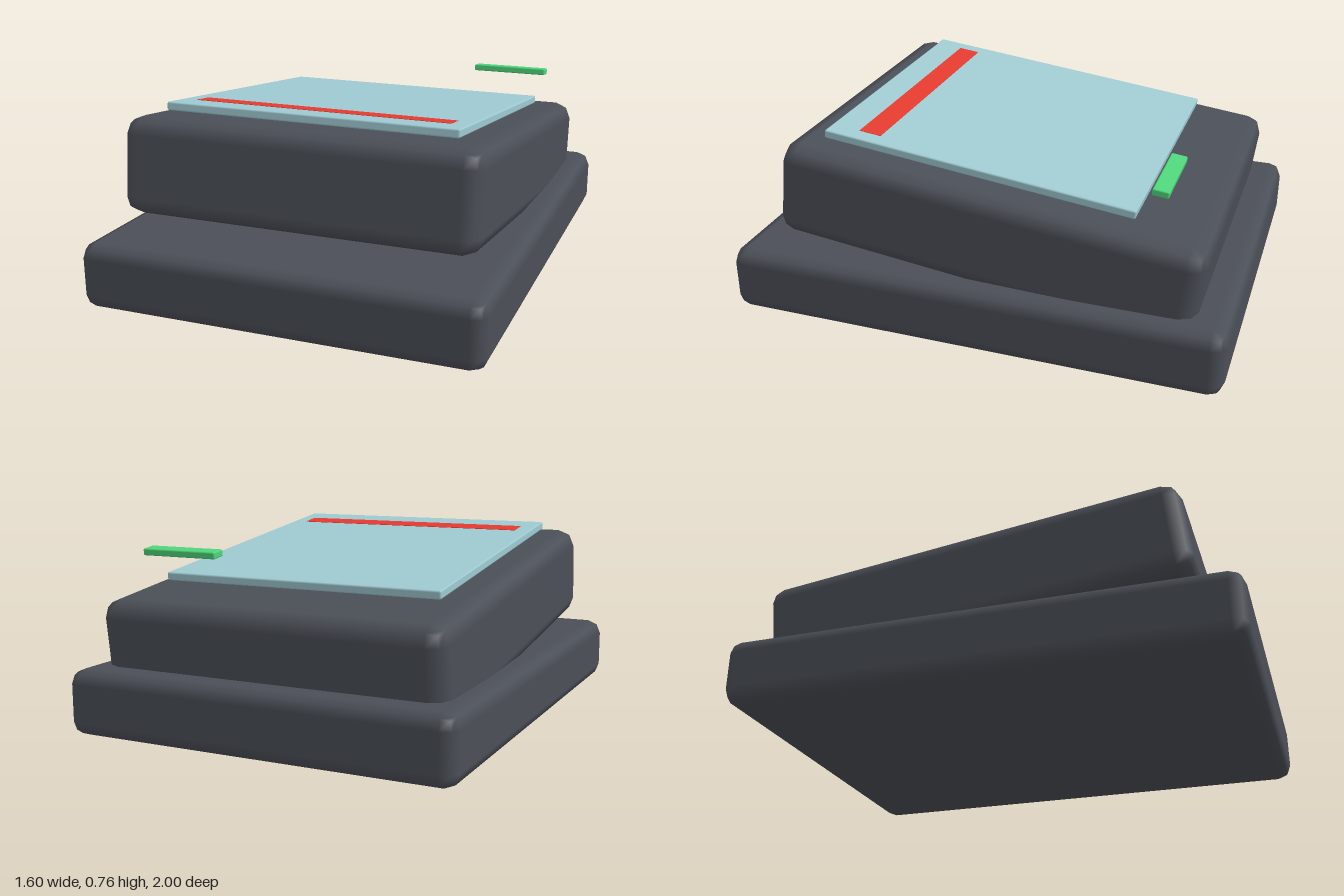
import * as THREE from 'three';
import { RoundedBoxGeometry } from 'three/addons/geometries/RoundedBoxGeometry.js';

const TILT = -0.12; // the upper parts lean back, front edge raised

function material(name, color) {
  const m = new THREE.MeshStandardMaterial({ color });
  m.name = name;
  return m;
}

// Box with two-step bevelled edges
function bevelledBox(name, [w, h, d], bevel, mat) {
  const mesh = new THREE.Mesh(new RoundedBoxGeometry(w, h, d, 1, bevel), mat);
  mesh.name = name;
  return mesh;
}

export function createModel() {
  const model = new THREE.Group();
  model.name = 'countertopTerminal';

  const casing = material('dark grey casing', 0x4b4f57);
  const glass = material('pale blue screen', 0x9fcad2);
  const red = material('red stripe', 0xe53a30);
  const green = material('green light', 0x4fd67b);

  // Flat base slab
  const base = bevelledBox('base', [1.6, 0.266, 2], 0.058, casing);
  base.position.y = 0.133;

  // Tilted housing, sunk into the base at the back
  const housing = bevelledBox('housing', [1.43, 0.386, 1.695], 0.07, casing);
  housing.position.set(0, 0.433, -0.039);
  housing.rotation.x = TILT;

  // Screen panel with a thin stripe lying on it
  const screen = new THREE.Group();
  screen.name = 'screen';
  screen.position.set(0, 0.667, 0.014);
  screen.rotation.x = TILT;
  const panel = bevelledBox('screenPanel', [1.184, 0.034, 1.258], 0.007, glass);
  const stripe = new THREE.Mesh(new THREE.BoxGeometry(1.05, 0.004, 0.09), red);
  stripe.name = 'screenStripe';
  stripe.position.set(0, 0.0165, 0.466);
  screen.add(panel, stripe);

  // Status light floating above the back left corner
  const light = bevelledBox('statusLight', [0.33, 0.028, 0.064], 0.006, green);
  light.position.set(0.45, 0.705, -0.7);
  light.rotation.x = TILT;

  model.add(base, housing, screen, light);
  return model;
}
